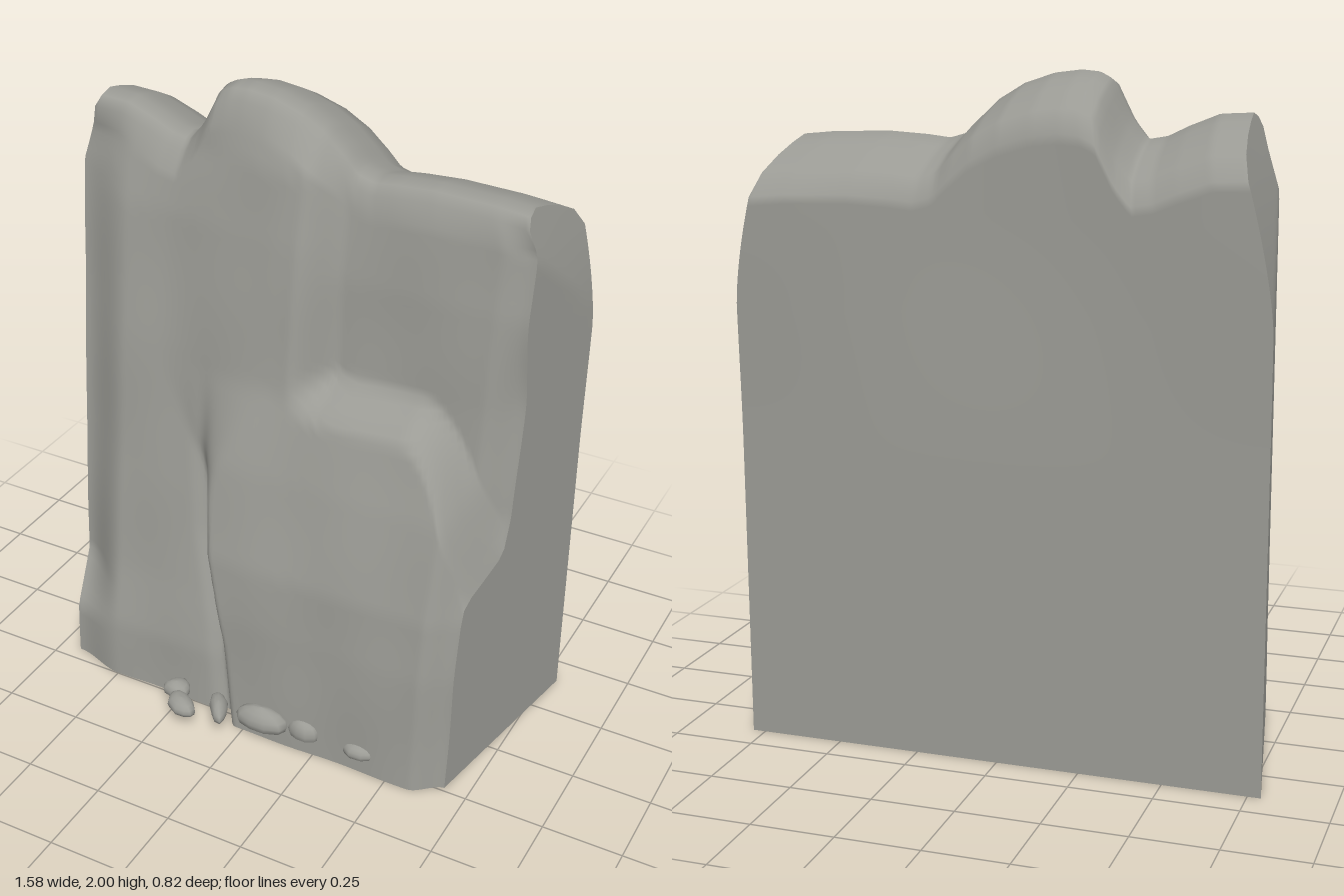
import * as THREE from 'three';

const clamp = THREE.MathUtils.clamp, lerp = THREE.MathUtils.lerp;
const smooth = (a, b, v) => { const t = clamp((v - a) / (b - a), 0, 1); return t * t * (3 - 2 * t); };

// Piecewise linear lookup in a short list of [position, value]
function table(list, v) {
  if (v <= list[0][0]) return list[0][1];
  for (let i = 1; i < list.length; i++) {
    const [a, va] = list[i - 1], [b, vb] = list[i];
    if (v <= b) return lerp(va, vb, (v - a) / (b - a));
  }
  return list[list.length - 1][1];
}

// Skyline across the width
const SKYLINE = [[-0.7, 1.89], [-0.6, 1.885], [-0.5, 1.85], [-0.43, 1.82], [-0.37, 1.81], [-0.33, 1.87],
  [-0.29, 1.975], [-0.25, 1.995], [-0.19, 2], [-0.1, 1.99], [0, 1.96], [0.08, 1.915], [0.14, 1.86],
  [0.18, 1.815], [0.23, 1.8], [0.3, 1.808], [0.42, 1.815], [0.6, 1.81], [0.7, 1.8]];
// Depth of the face by height: main buttress, left part, left corner, recess at upper right
const MAIN = [[0, 0.305], [0.4, 0.285], [0.6, 0.265], [0.75, 0.23], [0.9, 0.195], [1.15, 0.12], [1.4, 0.085],
  [1.6, 0.055], [1.8, 0.015], [1.9, -0.03]];
const LEFT = [[0, 0.255], [0.2, 0.24], [0.4, 0.2], [0.8, 0.135], [1.2, 0.075], [1.6, 0.01], [1.8, -0.04]];
const CORNER = [[0, 0.21], [0.18, 0.2], [0.34, 0.09], [0.8, 0.045], [1.2, 0], [1.75, -0.07]];
const RECESS = [[0, 0.19], [0.5, 0.13], [0.85, 0.03], [1.2, 0], [1.5, -0.015], [1.8, -0.05]];
const CREVICE = [[0, -0.06], [0.3, -0.1], [0.6, -0.17], [0.9, -0.2], [1.2, -0.2]];

function faceDepth(x, y) {
  // left part, sloping off towards its outer corner
  let left = lerp(table(LEFT, y), table(CORNER, y), smooth(-0.52, -0.7, x));
  // crevice: crisp near the ground, fading out upwards
  const cx = table(CREVICE, y), fade = smooth(0.75, 1.2, y);
  const w = lerp(0.03, 0.2, fade);
  let z = lerp(left, table(MAIN, y), smooth(cx - w, cx + w, x));
  z -= 0.02 * (1 - fade) * Math.exp(-(((x - cx + 0.03) / 0.03) ** 2));
  // recess above the ledge on the right
  const ledge = 1.17 - 0.42 * (Math.max(0, x - 0.42) / 0.27) ** 2;
  const inRecess = smooth(0.05, 0.17, x) * smooth(ledge - 0.07, ledge + 0.03, y);
  z = lerp(z, Math.min(z, table(RECESS, y)), inRecess);
  // rounded right corner
  z -= 0.06 * smooth(0.61, 0.7, x) * (1 - 0.5 * smooth(1.2, 1.5, y));
  return z + 0.004 * Math.sin(9 * y + 5 * x) * Math.sin(13 * x - 4 * y);
}

// Half width narrows to the front and towards the shoulders
function halfWidth(z, y) {
  const shoulder = 0.79 - 0.11 * (Math.max(0, y - 1.32) / 0.52) ** 1.5;
  return Math.min(0.79 - 0.18 * (z + 0.4), shoulder);
}

const WALL = 64;
// Section [z, y] up the face, over the crest and down the back
function section(s) {
  const x = s * 0.7, h = table(SKYLINE, x), pts = [];
  for (let k = 0; k < WALL; k++) {
    const y = (h - 0.1) * k / (WALL - 1);
    pts.push([faceDepth(x, y), y]);
  }
  pts.push([-0.055, h - 0.04], [-0.08, h - 0.012], [-0.12, h]);
  pts.push([-0.19, h - 0.02], [-0.27, h - 0.05], [-0.355, h - 0.095]);
  for (let k = WALL - 1; k >= 0; k--) {
    const y = (h - 0.16) * k / (WALL - 1);
    pts.push([-0.395 - 0.015 * smooth(0.9, 1.6, y) * Math.cos(x * 4.5 + 3.14), y]);
  }
  return pts;
}

// Surface from a rectangular grid of points
function sheet(cols, rows, pointAt, flip) {
  const pos = [], idx = [];
  for (let i = 0; i <= cols; i++) for (let j = 0; j <= rows; j++) pos.push(...pointAt(i, j));
  for (let i = 0; i < cols; i++) for (let j = 0; j < rows; j++) {
    const a = i * (rows + 1) + j, b = a + rows + 1;
    if (flip) idx.push(a, a + 1, b, b, a + 1, b + 1);
    else idx.push(a, b, a + 1, b, b + 1, a + 1);
  }
  const g = new THREE.BufferGeometry();
  g.setAttribute('position', new THREE.Float32BufferAttribute(pos, 3));
  g.setIndex(idx);
  g.computeVertexNormals();
  return g;
}

// Rounded stone with a flat base
function pebbleGeometry(seed) {
  const g = new THREE.SphereGeometry(1, 10, 8);
  const p = g.attributes.position;
  for (let i = 0; i < p.count; i++) {
    const x = p.getX(i), y = p.getY(i), z = p.getZ(i);
    const r = 1 + 0.1 * Math.sin(3 * x + seed) + 0.08 * Math.sin(4 * z + 2 * seed);
    p.setXYZ(i, x * r, Math.max(y, -0.5), z * r);
  }
  g.computeVertexNormals();
  return g;
}

export function createModel() {
  const model = new THREE.Group();
  const rock = new THREE.MeshStandardMaterial({ color: 0x9b9b95, side: THREE.DoubleSide });
  rock.name = 'grey rock';
  const add = (name, geometry) => {
    const mesh = new THREE.Mesh(geometry, rock);
    mesh.name = name;
    model.add(mesh);
    return mesh;
  };

  // Face, crest and back in one skin, open underneath
  const COLS = 120, sections = [];
  for (let i = 0; i <= COLS; i++) sections.push(section(i / COLS * 2 - 1));
  const rows = sections[0].length - 1;
  add('cliffFaceAndBack', sheet(COLS, rows, (i, j) => {
    const [z, y] = sections[i][j];
    return [(i / COLS * 2 - 1) * halfWidth(z, y), y, z];
  }));

  // Flat side walls
  for (const side of [-1, 1]) {
    const pts = sections[side < 0 ? 0 : COLS];
    const half = (rows - 1) / 2;
    add(side < 0 ? 'rightSideWall' : 'leftSideWall', sheet(8, half, (i, j) => {
      const front = pts[j], back = pts[rows - j], t = i / 8;
      const z = lerp(front[0], back[0], t), y = lerp(front[1], back[1], t);
      return [side * halfWidth(z, y), y, z];
    }, side < 0));
  }

  // Pebbles along the foot: x, z, half width, height, half depth, turn
  const pebbles = [
    [-0.245, 0.3, 0.045, 0.045, 0.04, 0.2], [-0.19, 0.362, 0.07, 0.045, 0.034, -0.55],
    [-0.075, 0.325, 0.065, 0.05, 0.03, -1.0], [0.075, 0.315, 0.085, 0.075, 0.042, 0.05],
    [0.215, 0.295, 0.055, 0.065, 0.036, 0.1], [0.405, 0.29, 0.058, 0.045, 0.03, 0]];
  pebbles.forEach(([x, z, w, h, d, turn], i) => {
    const stone = add('pebble' + (i + 1), pebbleGeometry(i * 1.7));
    stone.scale.set(w, h / 1.5, d);
    stone.position.set(x, 0.055 + h / 3, z);
    stone.rotation.y = turn;
  });

  // Centre the depth
  const box = new THREE.Box3().setFromObject(model);
  const shift = -(box.min.z + box.max.z) / 2;
  model.children.forEach((m) => { m.position.z += shift; });
  return model;
}
